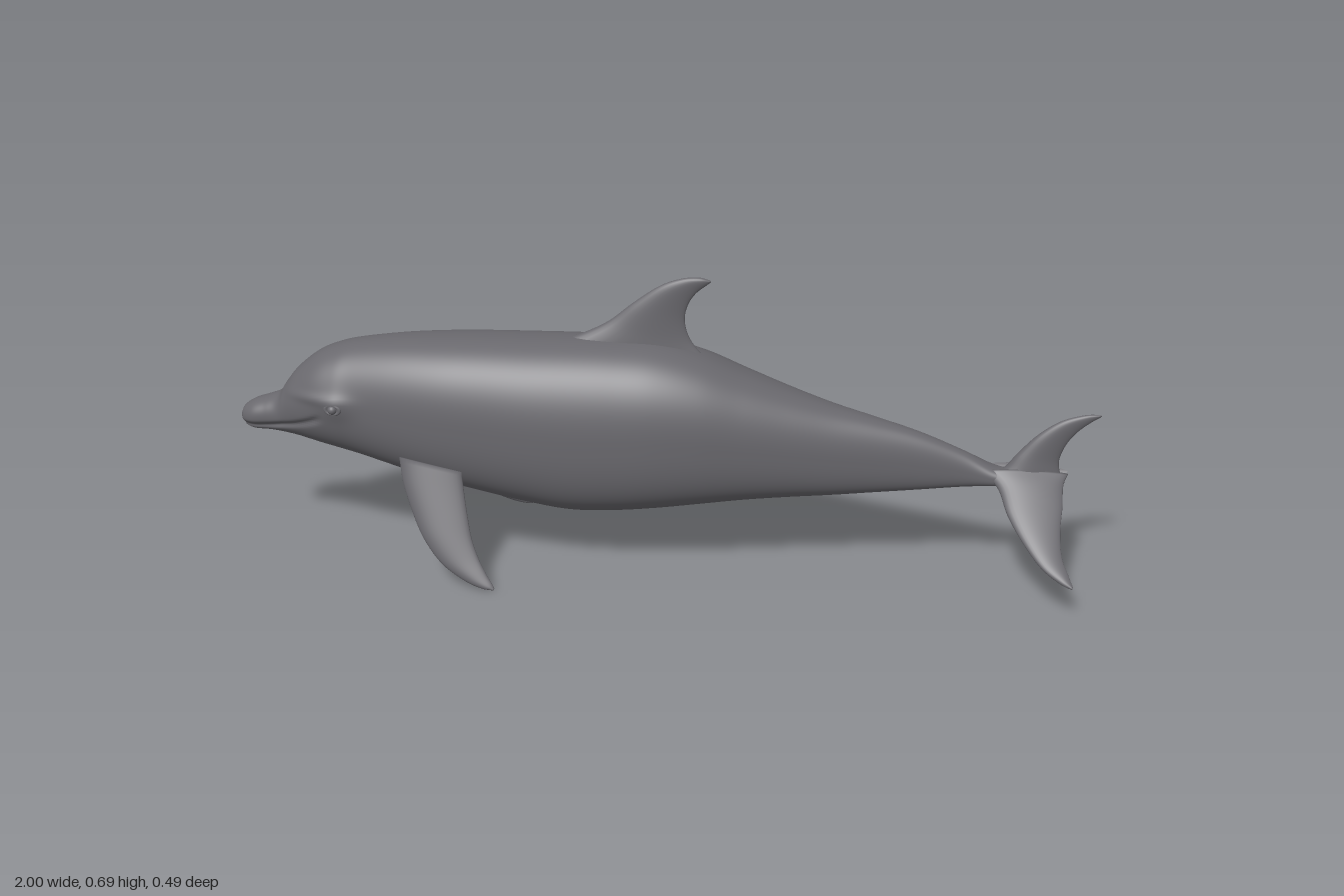
import * as THREE from 'three';

const skin = new THREE.MeshStandardMaterial({ color: 0x69686d });
skin.name = 'slateGrey';

// Smoothly interpolates rows of numbers into count + 1 rows.
function smoothRows(rows, count) {
  const stride = rows[0].length;
  const spline = new THREE.CubicInterpolant(rows.map((_, i) => i), rows.flat(), stride, new Float32Array(stride));
  return Array.from({ length: count + 1 }, (_, i) => Array.from(spline.evaluate((i / count) * (rows.length - 1))));
}

// Skins closed rings of Vector3 and caps both ends, facing outwards.
function loft(name, rings) {
  const n = rings[0].length;
  const points = rings.flat();
  const index = [];
  for (let i = 0; i < rings.length - 1; i++) {
    for (let j = 0; j < n; j++) {
      const a = i * n + j, b = i * n + (j + 1) % n;
      index.push(a, a + n, b, b, a + n, b + n);
    }
  }
  [0, rings.length - 1].forEach((r) => {
    const centre = new THREE.Vector3();
    rings[r].forEach((p) => centre.addScaledVector(p, 1 / n));
    const c = points.push(centre) - 1;
    for (let j = 0; j < n; j++) {
      const a = r * n + j, b = r * n + (j + 1) % n;
      if (r === 0) index.push(c, a, b); else index.push(c, b, a);
    }
  });
  // A negative enclosed volume means the winding is inside out.
  let volume = 0;
  const cross = new THREE.Vector3();
  for (let k = 0; k < index.length; k += 3) {
    volume += cross.crossVectors(points[index[k + 1]], points[index[k + 2]]).dot(points[index[k]]);
  }
  if (volume < 0) index.reverse();
  const geometry = new THREE.BufferGeometry().setFromPoints(points);
  geometry.setIndex(index);
  geometry.computeVertexNormals();
  const mesh = new THREE.Mesh(geometry, skin);
  mesh.name = name;
  return mesh;
}

// Fin rows: leading x, y, trailing x, y, half thickness.
// The fin leans sideways: z = side * (z0 + slope * (y0 - y)).
function fin(name, rows, { side = 1, z0 = 0, y0 = 0, slope = 0 } = {}) {
  const len = Math.hypot(1, slope);
  const rings = smoothRows(rows, 40).map(([lx, ly, tx, ty, h]) =>
    Array.from({ length: 32 }, (_, j) => {
      const a = (j / 32) * Math.PI * 2;
      const t = (1 - Math.cos(a)) / 2;
      const w = h * Math.sin(a) * (1.15 - 0.5 * t);
      const y = ly + (ty - ly) * t;
      const z = z0 + slope * (y0 - y) + w / len;
      return new THREE.Vector3(lx + (tx - lx) * t, y + (w * slope) / len, side * z);
    }));
  return loft(name, rings);
}

// Body stations: x, bottom, top, half width.
const bodyRows = [
  [-1, 0.305, 0.32, 0.008], [-0.99, 0.289, 0.338, 0.026], [-0.965, 0.282, 0.354, 0.041],
  [-0.93, 0.281, 0.366, 0.047], [-0.9, 0.278, 0.379, 0.053], [-0.88, 0.275, 0.407, 0.062],
  [-0.85, 0.27, 0.443, 0.078], [-0.8, 0.258, 0.482, 0.097], [-0.75, 0.247, 0.503, 0.108],
  [-0.7, 0.235, 0.515, 0.113], [-0.6, 0.21, 0.528, 0.13], [-0.5, 0.187, 0.535, 0.144],
  [-0.4, 0.166, 0.539, 0.152], [-0.3, 0.147, 0.541, 0.158], [-0.2, 0.133, 0.543, 0.16],
  [-0.1, 0.136, 0.543, 0.159], [0, 0.147, 0.538, 0.155], [0.1, 0.161, 0.515, 0.142],
  [0.2, 0.174, 0.476, 0.121], [0.3, 0.183, 0.438, 0.098], [0.4, 0.19, 0.404, 0.075],
  [0.5, 0.199, 0.376, 0.054], [0.6, 0.209, 0.346, 0.037], [0.7, 0.221, 0.306, 0.027],
  [0.77, 0.229, 0.273, 0.032], [0.82, 0.234, 0.265, 0.034], [0.88, 0.24, 0.262, 0.024],
  [0.925, 0.247, 0.258, 0.006],
];
const bump = (d, size) => Math.exp(-((d / size) ** 2));

function body() {
  const power = (v, n) => Math.sign(v) * Math.abs(v) ** (2 / n);
  const rings = smoothRows(bodyRows, 243).map(([x, bottom, top, w]) => {
    const mid = (bottom + top) / 2, h = (top - bottom) / 2;
    const trunk = THREE.MathUtils.smoothstep(x, -0.85, -0.45);
    return Array.from({ length: 120 }, (_, j) => {
      const a = (j / 120) * Math.PI * 2;
      const s = Math.sin(a), c = Math.cos(a);
      const n = s < 0 ? 2.1 + 0.6 * trunk : 2.1 + 0.2 * trunk;
      const y = mid + h * power(s, n);
      let z = w * power(c, n);
      // Mouth groove, brow ridge and eye socket swelling on the head
      const sideways = Math.sign(z) * Math.min(1, Math.abs(c) * 1.5);
      const mouthY = 0.298 + 1.1 * Math.max(0, x + 0.97) ** 2 + 0.06 * (x + 0.97);
      const mouthFade = 1 - THREE.MathUtils.smoothstep(x, -0.8, -0.765);
      z -= sideways * 0.008 * bump(y - mouthY, 0.007) * mouthFade;
      z += sideways * 0.009 * bump(x + 0.74, 0.045) * bump(y - 0.385, 0.03);
      z += sideways * 0.005 * bump(x + 0.79, 0.07) * bump(y - 0.398, 0.012);
      return new THREE.Vector3(x, y, z);
    });
  });
  return loft('body', rings);
}

const dorsalRows = [
  [-0.28, 0.515, 0.15, 0.47, 0.032], [-0.195, 0.545, 0.1, 0.512, 0.028], [-0.12, 0.582, 0.07, 0.55, 0.022],
  [-0.06, 0.63, 0.058, 0.592, 0.017], [0, 0.672, 0.065, 0.63, 0.013], [0.05, 0.691, 0.083, 0.658, 0.01],
  [0.09, 0.695, 0.105, 0.676, 0.008], [0.115, 0.689, 0.116, 0.685, 0.003],
];
const pectoralRows = [
  [-0.588, 0.275, -0.44, 0.25, 0.022], [-0.575, 0.22, -0.43, 0.2, 0.02], [-0.55, 0.16, -0.42, 0.155, 0.018],
  [-0.52, 0.105, -0.408, 0.11, 0.016], [-0.475, 0.055, -0.39, 0.07, 0.013], [-0.42, 0.022, -0.37, 0.038, 0.01],
  [-0.38, 0.008, -0.355, 0.018, 0.007], [-0.352, 0.005, -0.35, 0.009, 0.003],
];
const upperFlukeRows = [
  [0.73, 0.25, 0.93, 0.24, 0.028], [0.785, 0.265, 0.918, 0.262, 0.026], [0.82, 0.308, 0.913, 0.295, 0.019],
  [0.862, 0.355, 0.925, 0.333, 0.014], [0.91, 0.39, 0.947, 0.365, 0.01], [0.96, 0.407, 0.975, 0.39, 0.007],
  [0.996, 0.41, 0.998, 0.406, 0.003],
];
const lowerFlukeRows = [
  [0.74, 0.262, 0.935, 0.265, 0.018], [0.778, 0.235, 0.924, 0.245, 0.018], [0.8, 0.192, 0.922, 0.21, 0.015],
  [0.835, 0.148, 0.917, 0.17, 0.012], [0.875, 0.11, 0.92, 0.13, 0.009], [0.915, 0.088, 0.935, 0.1, 0.007],
  [0.942, 0.079, 0.944, 0.083, 0.003],
];

// Eyeball with a raised lid around it
function eye(side) {
  const group = new THREE.Group();
  group.name = side > 0 ? 'leftEye' : 'rightEye';
  const ball = new THREE.Mesh(new THREE.SphereGeometry(0.011, 20, 14), skin);
  ball.name = 'eyeball';
  const lid = new THREE.Mesh(new THREE.TorusGeometry(0.013, 0.004, 10, 28), skin);
  lid.name = 'eyelid';
  lid.scale.set(1.3, 0.85, 1);
  group.add(ball, lid);
  group.position.set(-0.742, 0.38, side * 0.115);
  group.rotation.y = side * -0.15;
  return group;
}

export function createModel() {
  const model = new THREE.Group();
  model.name = 'dolphin';
  model.add(body(), fin('dorsalFin', dorsalRows), fin('upperFluke', upperFlukeRows));
  for (const side of [1, -1]) {
    const label = side > 0 ? 'left' : 'right';
    model.add(
      fin(label + 'Flipper', pectoralRows, { side, z0: 0.143, y0: 0.23, slope: 0.43 }),
      fin(label + 'Fluke', lowerFlukeRows, { side, z0: 0.01, y0: 0.262, slope: 1.13 }),
      eye(side),
    );
  }
  return model;
}
